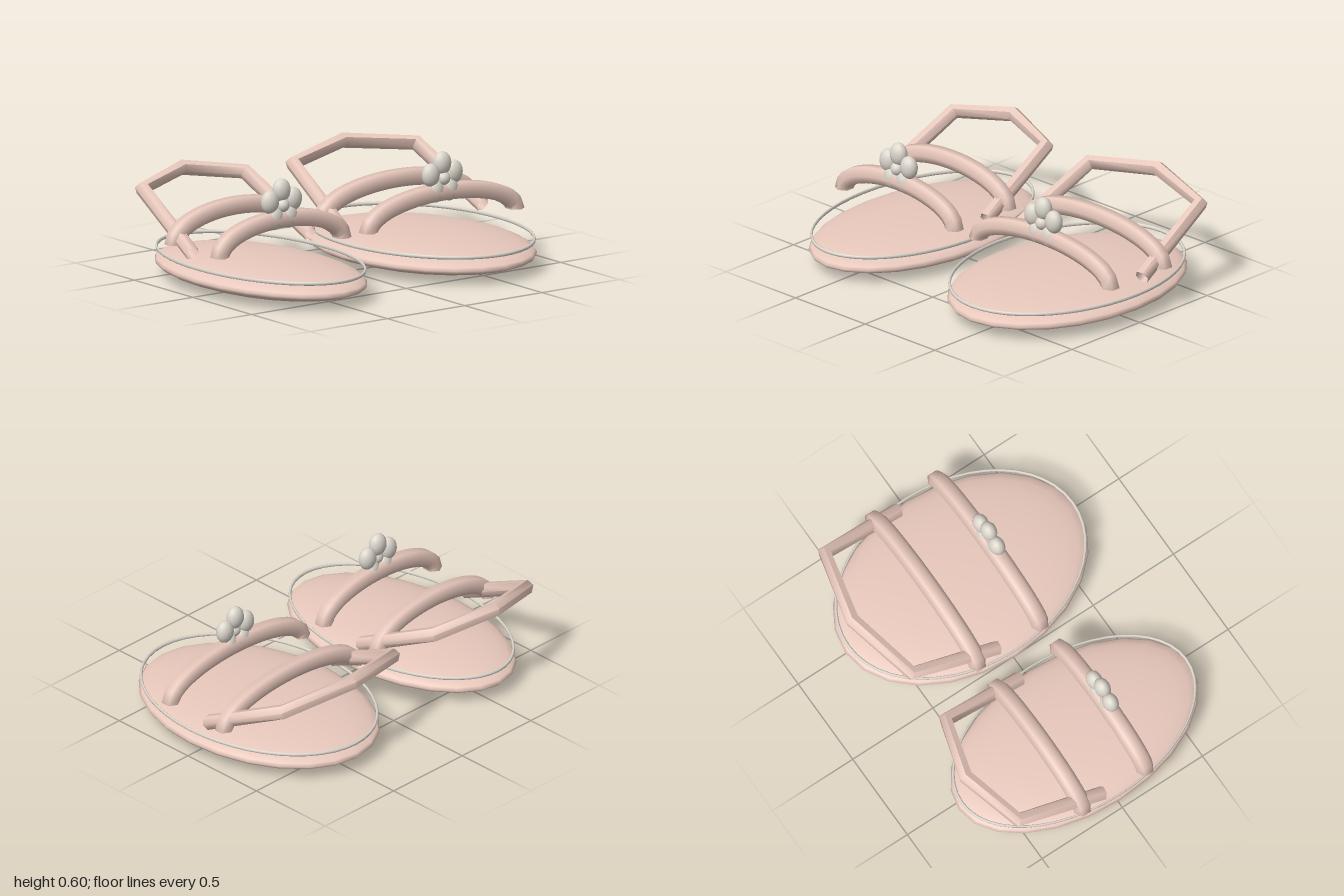
import * as THREE from 'three';
import { toCreasedNormals } from 'three/addons/utils/BufferGeometryUtils.js';

const leather = new THREE.MeshStandardMaterial({ color: 0xe8c8bc, side: THREE.DoubleSide });
const trim = new THREE.MeshStandardMaterial({ color: 0xdcd6cc });

function add(parent, name, geometry, material, x = 0, y = 0, z = 0) {
  const mesh = new THREE.Mesh(geometry, material);
  mesh.name = name;
  mesh.position.set(x, y, z);
  parent.add(mesh);
  return mesh;
}

// Half ellipse standing on the sides of the foot
class ArchCurve extends THREE.Curve {
  constructor(halfWidth, rise) {
    super();
    this.halfWidth = halfWidth;
    this.rise = rise;
  }
  getPoint(t, target = new THREE.Vector3()) {
    const a = Math.PI * (1 - t);
    return target.set(this.halfWidth * Math.cos(a), this.rise * Math.sin(a), 0);
  }
}

// Straight runs between points, one tube segment per run
class PolylineCurve extends THREE.Curve {
  constructor(points) {
    super();
    this.points = points;
  }
  getPoint(t, target = new THREE.Vector3()) {
    const n = this.points.length - 1;
    const i = Math.min(Math.floor(t * n + 1e-9), n - 1);
    return target.lerpVectors(this.points[i], this.points[i + 1], t * n - i);
  }
  getPointAt(t, target) { return this.getPoint(t, target); }
  getTangentAt(t, target) { return this.getTangent(t, target); }
}

// Five petals around a small bead
function createFlower() {
  const flower = new THREE.Group();
  flower.name = 'flower';
  for (let i = 0; i < 5; i++) {
    const a = Math.PI / 2 + (i * Math.PI * 2) / 5;
    const petal = add(flower, 'petal', new THREE.SphereGeometry(1, 16, 12), trim,
      0.078 * Math.cos(a), 0.078 * Math.sin(a), 0);
    petal.scale.set(0.051, 0.062, 0.041);
  }
  add(flower, 'flowerCentre', new THREE.SphereGeometry(0.036, 16, 12), trim, 0, 0, 0.01);
  return flower;
}

function createSandal(name, x, halfWidth) {
  const sandal = new THREE.Group();
  sandal.name = name;
  sandal.position.x = x;

  // Cushioned sole and the thin rim above it
  const sole = add(sandal, 'sole', new THREE.SphereGeometry(1, 24, 16), leather, 0, 0.08, 0);
  sole.scale.set(halfWidth, 0.08, 0.72);
  const rim = add(sandal, 'soleRim', new THREE.TorusGeometry(1, 0.012, 8, 48), trim, 0, 0.15, 0);
  rim.rotation.x = Math.PI / 2;
  rim.scale.set(halfWidth * 0.985, 0.7, 0.85);

  // Arched straps over toes and instep
  const arch = new ArchCurve(halfWidth * 0.93, 0.152);
  for (const [strap, z] of [['toeStrap', 0.17], ['instepStrap', -0.22]]) {
    add(sandal, strap, new THREE.TubeGeometry(arch, 24, 0.05, 6), leather, 0, 0.235, z);
  }

  // Angular sling behind the heel
  const sx = halfWidth * 0.895, cx = halfWidth * 0.78;
  const sling = new PolylineCurve([
    new THREE.Vector3(-sx, 0.209, -0.083),
    new THREE.Vector3(-cx, 0.455, -0.575),
    new THREE.Vector3(0, 0.505, -0.675),
    new THREE.Vector3(cx, 0.455, -0.575),
    new THREE.Vector3(sx, 0.209, -0.083),
  ]);
  add(sandal, 'heelStrap', toCreasedNormals(new THREE.TubeGeometry(sling, 4, 0.04, 6), 1.06), leather);

  const flower = createFlower();
  flower.position.set(0, 0.46, 0.175);
  sandal.add(flower);
  return sandal;
}

export function createModel() {
  const model = new THREE.Group();
  model.name = 'sandals';
  model.add(createSandal('rightSandal', -0.56, 0.425));
  model.add(createSandal('leftSandal', 0.48, 0.51));
  return model;
}
